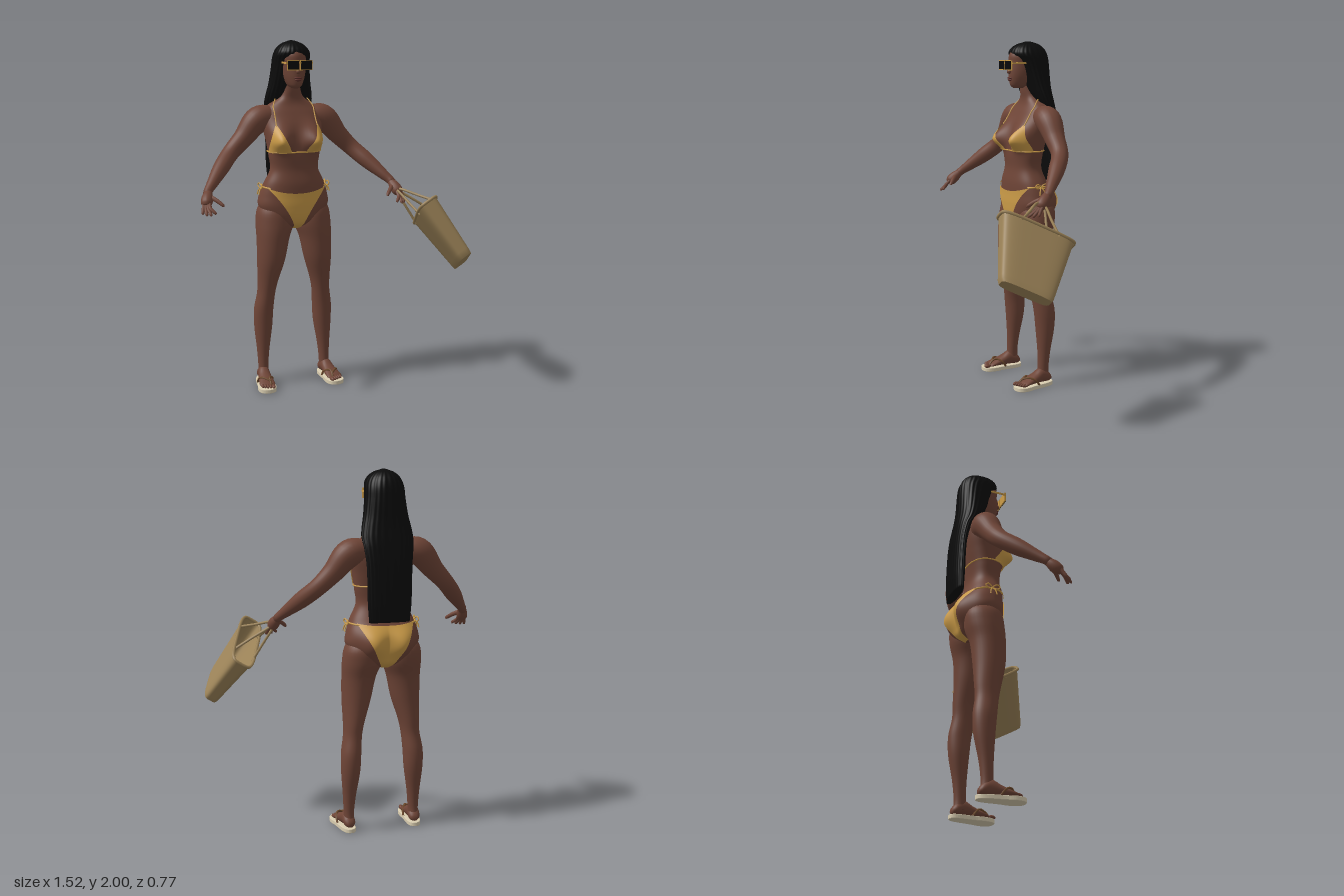
import * as THREE from 'three';

const mat = (name, color, side = THREE.FrontSide) => {
  const m = new THREE.MeshStandardMaterial({ color, side });
  m.name = name;
  return m;
};
const V = (x, y, z) => new THREE.Vector3(x, y, z);
const pw = (v, p) => Math.sign(v) * Math.abs(v) ** p;

// Smooth interpolation of table rows keyed by their first column
function at(rows, k) {
  let i = 0;
  while (i < rows.length - 2 && k > rows[i + 1][0]) i++;
  const a = rows[i], b = rows[i + 1], p = rows[i - 1] || a, n = rows[i + 2] || b;
  const h = b[0] - a[0], t = Math.min(1, Math.max(0, (k - a[0]) / h));
  return a.slice(1).map((va, j) => {
    const c = j + 1, vb = b[c];
    const ma = (vb - p[c]) / (b[0] - p[0]) * h, mb = (n[c] - va) / (n[0] - a[0]) * h;
    return (2 * t ** 3 - 3 * t * t + 1) * va + (t ** 3 - 2 * t * t + t) * ma + (3 * t * t - 2 * t ** 3) * vb + (t ** 3 - t * t) * mb;
  });
}

// Surface grid from f(u, v); wrap joins the u seam
function grid(f, nu, nv, wrap = false) {
  const pos = [], idx = [], cols = wrap ? nu : nu + 1;
  for (let j = 0; j <= nv; j++) for (let i = 0; i < cols; i++) pos.push(...f(i / nu, j / nv).toArray());
  for (let j = 0; j < nv; j++) for (let i = 0; i < nu; i++) {
    const a = j * cols + i, b = j * cols + (i + 1) % cols;
    idx.push(a, b, b + cols, a, b + cols, a + cols);
  }
  const g = new THREE.BufferGeometry();
  g.setAttribute('position', new THREE.Float32BufferAttribute(pos, 3));
  g.setIndex(idx);
  g.computeVertexNormals();
  return g;
}

// Closed body through rows [y, halfWidth, zFront, zBack, centreX]
function loft(rows, nu = 32, nv = 40, p = 1, ripple = 0) {
  const y0 = rows[0][0], y1 = rows[rows.length - 1][0];
  return grid((u, v) => {
    const k = Math.min(1, Math.max(0, (v * nv - 1) / (nv - 2))), y = y0 + (y1 - y0) * k;
    const [w, zf, zb, cx = 0] = at(rows, y), a = u * Math.PI * 2;
    const r = v === 0 || v === 1 ? 0 : 1 + ripple * Math.sin(a * 24);
    return V(cx + w * r * pw(Math.sin(a), p), y, (zf + zb) / 2 + (zf - zb) / 2 * r * pw(Math.cos(a), p));
  }, nu, nv, true);
}

// Round limb through points [x, y, z, radius]
function sweep(pts, nu = 16, nv = 24) {
  const curve = new THREE.CatmullRomCurve3(pts.map(q => V(q[0], q[1], q[2])));
  const fr = curve.computeFrenetFrames(nv), radii = pts.map((q, i) => [i, q[3]]);
  return grid((u, v) => {
    const j = Math.round(v * nv), a = u * Math.PI * 2;
    const r = j === 0 || j === nv ? 0 : at(radii, curve.getUtoTmapping(v) * (pts.length - 1))[0];
    return curve.getPointAt(v).addScaledVector(fr.normals[j], r * Math.cos(a)).addScaledVector(fr.binormals[j], r * Math.sin(a));
  }, nu, nv, true);
}
const cord = (pts, r, closed = false) =>
  new THREE.TubeGeometry(new THREE.CatmullRomCurve3(pts, closed), pts.length * 5, r, 6, closed);
const ball = (x, y, z, rx, ry, rz) => new THREE.SphereGeometry(1, 20, 14).scale(rx, ry, rz).translate(x, y, z);
const box = (x, y, z, w, h, d) => new THREE.BoxGeometry(w, h, d).translate(x, y, z);
function mirrored(geo) {
  const g = geo.clone().scale(-1, 1, 1), ix = g.index;
  for (let i = 0; i < ix.count; i += 3) {
    const t = ix.getX(i);
    ix.setX(i, ix.getX(i + 1));
    ix.setX(i + 1, t);
  }
  return g;
}

// Torso: [y, halfWidth, zFront, zBack]
const TORSO = [[.93, .03, -.19, -.27], [.96, .1, -.135, -.32], [1, .16, -.115, -.335], [1.07, .205, -.108, -.345],
  [1.13, .2, -.108, -.345], [1.2, .176, -.108, -.315], [1.28, .14, -.118, -.29], [1.36, .148, -.115, -.295],
  [1.45, .16, -.125, -.315], [1.53, .175, -.145, -.33], [1.6, .17, -.175, -.335], [1.645, .125, -.195, -.33],
  [1.68, .075, -.2, -.315], [1.72, .054, -.195, -.295], [1.79, .052, -.19, -.29]];
const PX = .85;
function torsoPoint(a, y, off = 0) {
  const [w, zf, zb] = at(TORSO, y), s = Math.sin(a), c = Math.cos(a);
  let x = (w + off) * pw(s, PX), z = (zf + zb) / 2 + ((zf - zb) / 2 + off) * pw(c, PX);
  const bump = (bx, by, sx, sy) => Math.exp(-(((Math.abs(x) - bx) / sx) ** 2) - ((y - by) / sy) ** 2);
  if (c > 0) {
    const b = bump(.092, 1.445, .055, y < 1.445 ? .05 : .075) * Math.min(1, c * 2);
    z += .07 * b;
    x += Math.sign(x) * .014 * b;
  } else z -= .042 * bump(.085, 1.07, .07, .08) * Math.min(1, -c * 2);
  return V(x, y, z);
}
// Point on the torso at a given x, on the front (1) or back (-1)
function torsoAtX(x, y, face, off) {
  const a = Math.asin(Math.min(.985, (Math.abs(x) / at(TORSO, y)[0]) ** (1 / PX))) * Math.sign(x);
  return torsoPoint(face > 0 ? a : Math.PI - a, y, off);
}

export function createModel() {
  const skin = mat('skin', 0x6f4537), hair = mat('hair', 0x0b0b0b), gold = mat('gold fabric', 0xcc9c48, THREE.DoubleSide);
  const woven = mat('woven bag', 0x9c8358, THREE.DoubleSide), sole = mat('sandal sole', 0xd9cdb0);
  const thong = mat('sandal strap', 0x6e4a2c), lens = mat('dark lens', 0x08080a), lip = mat('lips', 0x5c302b);
  const model = new THREE.Group(), body = new THREE.Group();
  body.name = 'figure';
  body.position.x = -.16;
  model.add(body);
  const add = (name, geo, m, parent = body) => {
    const mesh = new THREE.Mesh(geo, m);
    mesh.name = name;
    parent.add(mesh);
  };
  const pair = (name, geo, m) => {
    add(name + 'Left', geo, m);
    add(name + 'Right', mirrored(geo), m);
  };

  // Torso and neck
  add('torso', grid((u, v) => v === 0 ? V(0, .93, -.23) : torsoPoint(u * Math.PI * 2, .93 + .86 * v), 72, 90, true), skin);

  // Head and face
  add('head', loft([[1.738, .02, -.14, -.2], [1.752, .038, -.124, -.25], [1.79, .058, -.115, -.3], [1.83, .069, -.114, -.32],
    [1.88, .074, -.117, -.33], [1.925, .074, -.119, -.325], [1.96, .056, -.145, -.3], [1.985, .015, -.2, -.25]]), skin);
  add('nose', ball(0, 1.832, -.114, .014, .014, .016), skin);
  add('noseBridge', ball(0, 1.855, -.116, .009, .03, .01), skin);
  add('upperLip', ball(0, 1.796, -.116, .024, .006, .009), lip);
  add('lowerLip', ball(0, 1.785, -.116, .02, .007, .009), lip);

  // Long straight hair
  add('hair', loft([[1.2, .112, -.335, -.382], [1.3, .12, -.33, -.388], [1.5, .125, -.322, -.382], [1.6, .135, -.295, -.372],
    [1.65, .14, -.25, -.365], [1.7, .133, -.225, -.357], [1.76, .12, -.2, -.352], [1.85, .108, -.168, -.35], [1.9, .104, -.148, -.347],
    [1.93, .098, -.125, -.34], [1.96, .082, -.135, -.325], [1.985, .052, -.17, -.295], [2, .012, -.22, -.25]], 144, 60, .85, .012), hair);

  // Sunglasses
  add('bridge', box(0, 1.88, -.088, .02, .008, .008), gold);
  pair('frame', box(.038, 1.868, -.09, .07, .056, .008), gold);
  pair('lens', box(.038, 1.868, -.086, .061, .047, .009), lens);
  pair('temple', box(.075, 1.88, -.14, .005, .01, .1), gold);

  // Arms and hands
  pair('arm', sweep([[.09, 1.575, -.255, .055], [.19, 1.563, -.257, .075], [.285, 1.46, -.25, .057], [.36, 1.385, -.235, .048],
    [.435, 1.31, -.17, .045], [.51, 1.232, -.09, .03], [.54, 1.2, -.057, .024], [.55, 1.18, -.035, .025]], 24, 40), skin);
  pair('palm', sweep([[.538, 1.2, -.055, .02], [.552, 1.17, -.025, .031], [.562, 1.145, 0, .03], [.566, 1.13, .015, .015]]), skin);
  [[.59, 1.09, .035], [.575, 1.085, .06], [.555, 1.085, .075], [.53, 1.092, .07]].forEach(([x, y, z], i) =>
    pair('finger' + (i + 1), sweep([[.575 - i * .009, 1.155, -.008 + i * .004, .01], [.583 - i * .011, 1.122, .015 + i * .008, .01],
      [x, y + .008, z - .006, .008], [x, y, z, .004]], 8, 12), skin));
  pair('thumb', sweep([[.545, 1.18, -.03, .014], [.508, 1.158, .008, .012], [.482, 1.135, .036, .009], [.476, 1.128, .044, .004]], 8, 12), skin);

  // Legs
  pair('leg', loft([[.05, .03, -.2, -.275, .19], [.1, .029, -.205, -.27, .19], [.2, .036, -.205, -.28, .188], [.35, .053, -.195, -.308, .183],
    [.45, .056, -.185, -.312, .18], [.55, .052, -.17, -.297, .168], [.62, .058, -.155, -.298, .16], [.75, .08, -.125, -.3, .142],
    [.88, .095, -.118, -.31, .128], [.97, .11, -.12, -.335, .113], [1.05, .095, -.135, -.335, .115], [1.12, .05, -.18, -.28, .11]], 32, 60), skin);

  // Feet and sandals, built along z and turned slightly outward
  const place = g => g.translate(0, 0, .165).rotateY(.1).translate(.2, 0, -.165);
  pair('foot', place(loft([[-.285, .018, -.03, -.06], [-.265, .032, -.024, -.085], [-.22, .034, -.024, -.11], [-.17, .038, -.024, -.085],
    [-.11, .045, -.024, -.058], [-.085, .042, -.024, -.046], [-.075, .025, -.026, -.038]], 24, 30).rotateX(Math.PI / 2)), skin);
  [-.03, -.013, .002, .016, .03].forEach((x, i) =>
    pair('toe' + (i + 1), place(ball(x, .034, -.064 - i * .006, i ? .008 : .011, .011, .022)), skin));
  const outline = new THREE.Shape();
  outline.moveTo(0, .295);
  outline.bezierCurveTo(.05, .295, .036, .2, .045, .14);
  outline.bezierCurveTo(.06, .08, .045, .042, 0, .042);
  outline.bezierCurveTo(-.05, .042, -.055, .09, -.046, .14);
  outline.bezierCurveTo(-.03, .2, -.05, .295, 0, .295);
  const soleGeo = new THREE.ExtrudeGeometry(outline, { depth: .018, bevelSize: .003, bevelThickness: .003, bevelSegments: 2, curveSegments: 16 });
  soleGeo.setIndex([...Array(soleGeo.attributes.position.count).keys()]);
  pair('sole', place(soleGeo.rotateX(-Math.PI / 2).translate(0, .004, 0)), sole);
  for (const s of [-1, 1])
    pair(s < 0 ? 'innerStrap' : 'outerStrap', place(cord([V(-.02, .025, -.072), V(-.017, .054, -.092), V(.018 * s, .07, -.122),
      V(.04 * s, .055, -.155), V(.042 * s, .024, -.18)], .006)), thong);

  // Bikini top: cups, neck straps and back band
  pair('cup', grid((u, v) => {
    const inner = .038 + .072 * v ** 1.2, outer = .15 - .03 * v ** 2;
    return torsoAtX(inner + (outer - inner) * u, 1.378 + .155 * v, 1, .006);
  }, 20, 20), gold);
  pair('neckStrap', cord([...[1.525, 1.55, 1.58, 1.61, 1.63].map(y => torsoAtX(.115, y, 1, .004)),
    V(.1, 1.667, -.24), V(.06, 1.705, -.3), V(0, 1.715, -.305)], .0035), gold);
  add('chestBand', cord([...Array(48).keys()].map(i => torsoPoint(i / 48 * Math.PI * 2, 1.382, .003)), .004, true), gold);

  // Bikini bottom: front and back panels, hip ties and bows
  const panel = (face, width, curve, y0, top, rise) => grid((u, v) => {
    const k = 2 * u - 1, x = (.02 + width * v ** curve) * k * face;
    return torsoAtX(x, y0 + (top + rise * k * k - y0) * v, face, .007);
  }, 40, 30);
  add('frontPanel', panel(1, .145, 1.4, .935, 1.148, .03), gold);
  add('backPanel', panel(-1, .135, .95, .935, 1.175, .012), gold);
  pair('hipTie', cord([...Array(9).keys()].map(i => torsoPoint(.95 + i * .17, 1.178 + .004 * Math.sin(i / 8 * Math.PI), .004)), .005), gold);
  const hip = torsoPoint(Math.PI / 2, 1.182, .008);
  for (const s of [-1, 1]) {
    const p = (x, y, z) => V(hip.x + x, hip.y + y, hip.z + z * s);
    const tag = s < 0 ? 'Back' : 'Front';
    pair('bowLoop' + tag, cord([p(0, 0, 0), p(.008, .018, .025), p(.01, .004, .042), p(.006, -.008, .022)], .0035, true), gold);
    pair('bowTail' + tag, cord([p(0, 0, 0), p(.014, -.018, .012), p(.022, -.045, .018)], .0035), gold);
  }

  // Tote bag hanging from the left hand
  const bag = new THREE.Group();
  bag.name = 'toteBag';
  model.add(bag);
  const top = V(.525, 1.045, .1), long = V(.3125, -.425, -.85).normalize();
  const down = V(.464, -.765, .437).normalize(), wide = long.clone().cross(down).normalize();
  const bagPoint = (a, v, size = 1) => top.clone().addScaledVector(down, .365 * v)
    .addScaledVector(long, (.205 - .06 * v) * size * pw(Math.cos(a), .45))
    .addScaledVector(wide, (.064 - .018 * v) * size * pw(Math.sin(a), .45));
  add('bagWall', grid((u, v) => bagPoint(u * Math.PI * 2, v, v > .95 ? .96 : 1), 64, 20, true), woven, bag);
  add('bagBase', grid((u, v) => bagPoint(u * Math.PI * 2, 1, .96 * (1 - v)), 64, 2, true), woven, bag);
  add('bagRim', cord([...Array(56).keys()].map(i => bagPoint(i / 56 * Math.PI * 2, .01, 1.02)), .009, true), woven, bag);
  for (const s of [-1, 1]) {
    const foot = k => top.clone().addScaledVector(long, .11 * k).addScaledVector(wide, .062 * s).addScaledVector(down, .02);
    const grip = k => V(.402, 1.15, .003).addScaledVector(long, .018 * k).addScaledVector(wide, .008 * s);
    const mid = k => foot(k).lerp(grip(k), .5);
    add(s < 0 ? 'handleOuter' : 'handleInner', cord([foot(-1), mid(-1), grip(-1), grip(1), mid(1), foot(1)], .0075), woven, bag);
  }
  return model;
}
